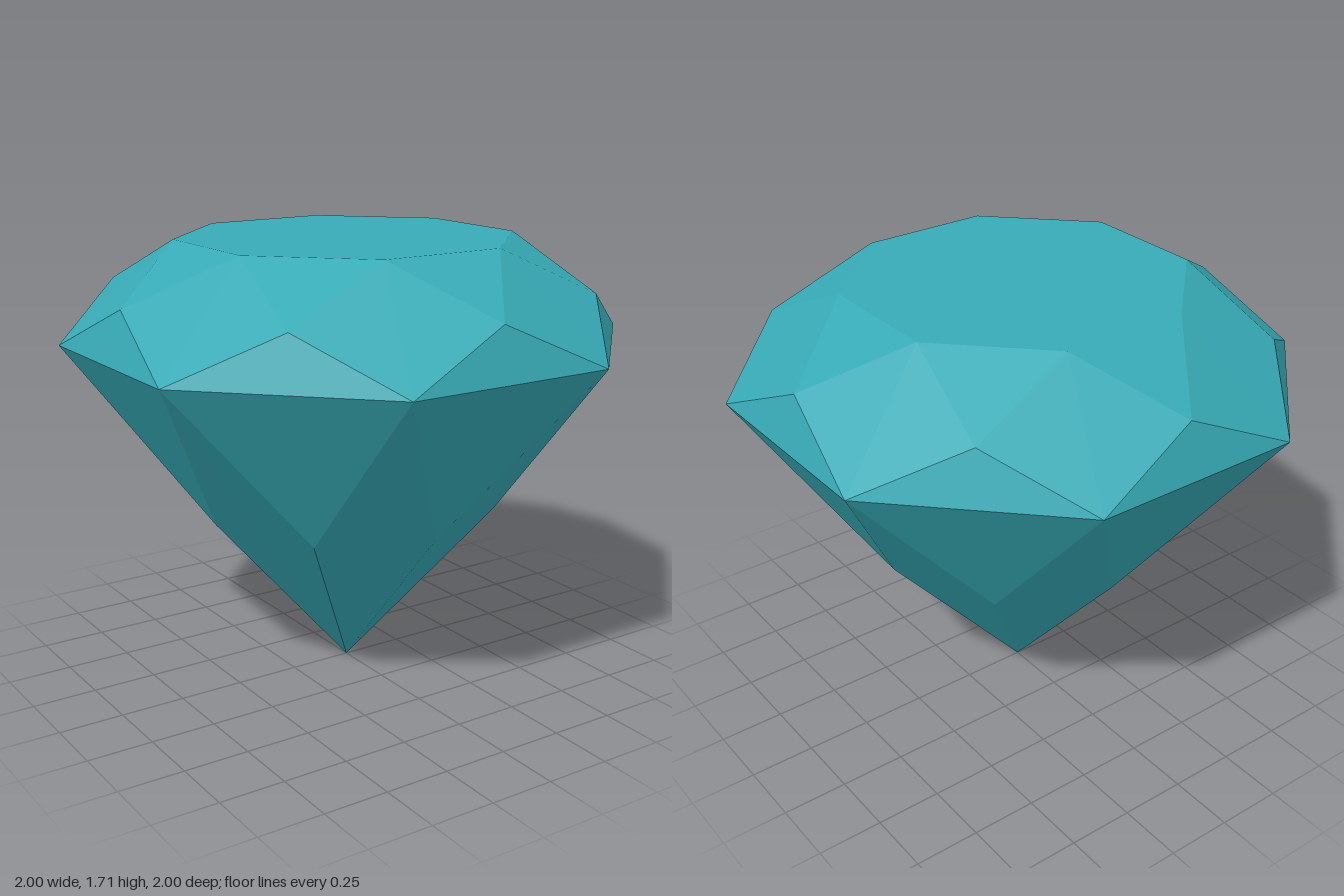
import * as THREE from 'three';

const SIDES = 8;
const STEP = (Math.PI * 2) / SIDES;

// Point on a ring: angle counted in facets from +z towards +x
const ring = (radius, y) => (i) =>
  [radius * Math.sin(i * STEP), y, radius * Math.cos(i * STEP)];

const girdle = ring(1.0824, 1.33);
const crownMid = ring(0.935, 1.52);
const tableRim = ring(0.65, 1.71);
const pavilionMid = ring(0.585, 0.667);
const tableCentre = [0, 1.71, 0];
const tip = [0, 0, 0];

// Repeats one sector's facets (triangles or planar quads) round the stone
function facetMesh(name, material, sector) {
  const positions = [];
  for (let i = 0; i < SIDES; i++) {
    for (const f of sector(i)) {
      for (let j = 1; j < f.length - 1; j++) positions.push(...f[0], ...f[j], ...f[j + 1]);
    }
  }
  const geometry = new THREE.BufferGeometry();
  geometry.setAttribute('position', new THREE.Float32BufferAttribute(positions, 3));
  geometry.computeVertexNormals();
  const mesh = new THREE.Mesh(geometry, material);
  mesh.name = name;
  return mesh;
}

export function createModel() {
  const group = new THREE.Group();
  group.name = 'gem';
  const material = new THREE.MeshStandardMaterial({ color: 0x37aab6, flatShading: true });

  // Flat octagonal top
  group.add(facetMesh('table', material, (i) => [
    [tableRim(i - 0.5), tableRim(i + 0.5), tableCentre],
  ]));

  // Crown: girdle triangles, star triangles and kites between them
  group.add(facetMesh('crown', material, (i) => [
    [girdle(i - 0.5), girdle(i + 0.5), crownMid(i)],
    [crownMid(i), tableRim(i + 0.5), tableRim(i - 0.5)],
    [girdle(i + 0.5), crownMid(i + 1), tableRim(i + 0.5), crownMid(i)],
  ]));

  // Pavilion: triangles under the girdle and long kites down to the tip
  group.add(facetMesh('pavilion', material, (i) => [
    [pavilionMid(i), girdle(i + 0.5), girdle(i - 0.5)],
    [tip, pavilionMid(i + 1), girdle(i + 0.5), pavilionMid(i)],
  ]));

  return group;
}
